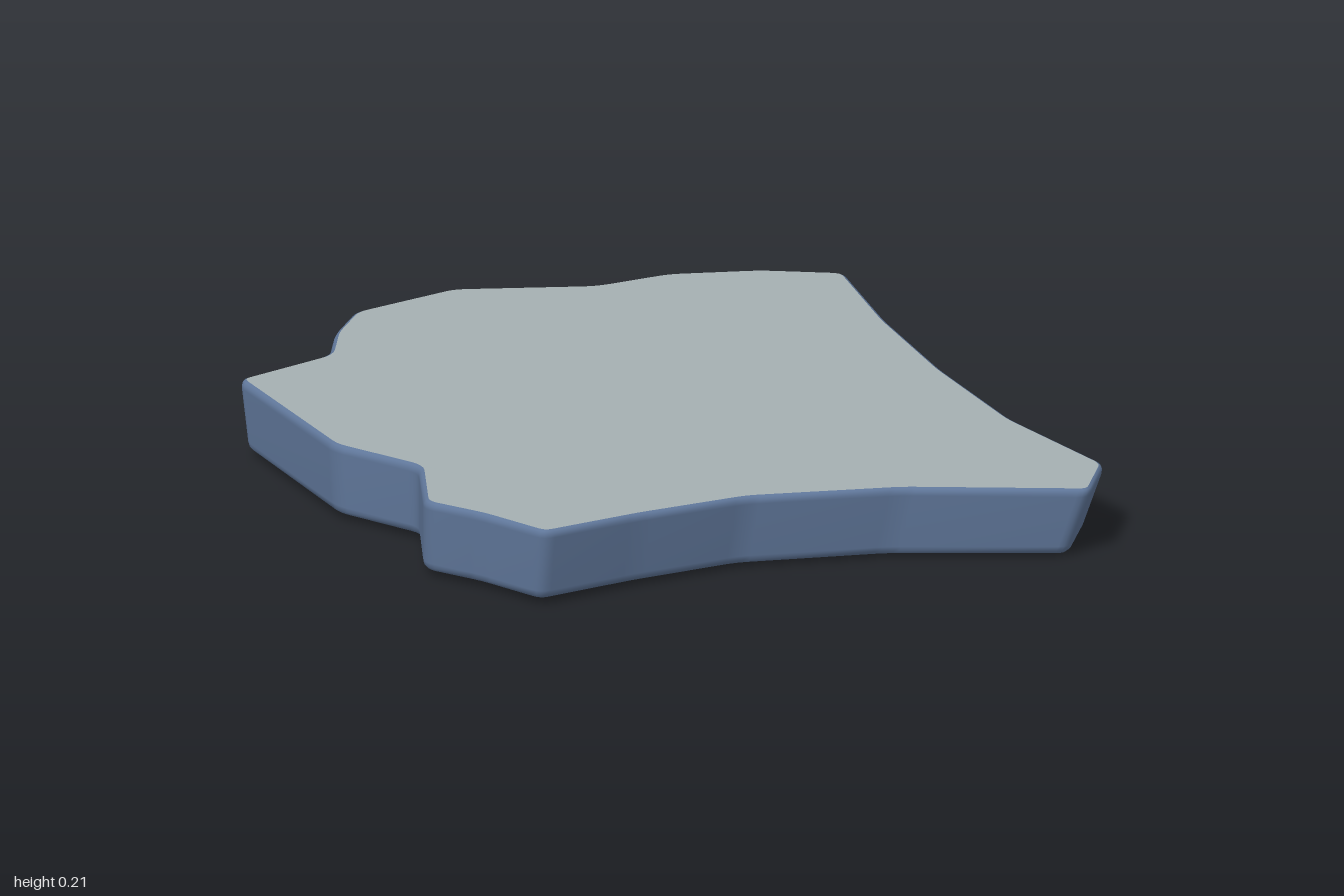
import * as THREE from 'three';

const blue = new THREE.MeshStandardMaterial({ name: 'slateBlue', color: 0x5f7699 });
const grey = new THREE.MeshStandardMaterial({ name: 'paleGrey', color: 0xa5b0b2 });

// Corners of the plate as [x, z], clockwise seen from above
const corners = [
  [-0.07, -1.005], [0.26, -0.87], [0.46, -0.87], [0.68, -0.795], [0.862, -0.685],
  [0.80, -0.33], [0.765, 0.05], [0.76, 0.45], [0.826, 0.845], [0.703, 1.012],
  [0.28, 0.81], [-0.10, 0.71], [-0.40, 0.715], [-0.68, 0.74], [-0.76, 0.55],
  [-0.85, 0.405], [-0.74, 0.155], [-0.86, -0.08], [-0.85, -0.635], [-0.565, -0.70],
  [-0.48, -0.84], [-0.365, -0.96],
].map(([x, z]) => new THREE.Vector2(x, z));

// Replace every corner by a short curve
function roundedOutline(points, cut) {
  const n = points.length;
  return points.flatMap((p, i) => {
    const toward = (q) => p.clone().add(q.clone().sub(p).setLength(cut));
    const curve = new THREE.QuadraticBezierCurve(
      toward(points[(i + n - 1) % n]), p, toward(points[(i + 1) % n]));
    return curve.getPoints(4);
  });
}

const outline = roundedOutline(corners, 0.032);
const count = outline.length;
const outward = outline.map((p, i) => {
  const t = outline[(i + 1) % count].clone().sub(outline[(i + count - 1) % count]);
  return new THREE.Vector2(t.y, -t.x).normalize();
});

// Gently warped upper and lower surfaces
const topY = (x, z) => 0.192 - 0.011 * x + 0.004 * z - 0.008 * x * z;
const bottomY = (x) => 0.0065 - 0.008 * x;

// One loop of points: inset from the wall, distance from the upper or lower surface
function ring(inset, offset, fromTop) {
  return outline.map((p, i) => {
    const q = p.clone().addScaledVector(outward[i], -inset);
    const low = bottomY(q.x), high = topY(q.x, q.y);
    const y = fromTop ? high - offset : low + offset;
    const drop = (high - y) / (high - low);
    // The walls lean inward toward the bottom
    const x = q.x * (1 - 0.035 * drop) - 0.02 * drop;
    const z = q.y * (1 - 0.045 * drop);
    return [x, y, z];
  });
}

function geometryFrom(points, index) {
  const g = new THREE.BufferGeometry();
  g.setAttribute('position', new THREE.Float32BufferAttribute(points.flat(), 3));
  g.setIndex(index);
  g.computeVertexNormals();
  return g;
}

// Wall through a stack of rings, bottom to top
function wall(rings) {
  const index = [];
  for (let j = 0; j < rings.length - 1; j++) {
    for (let i = 0; i < count; i++) {
      const k = (i + 1) % count;
      const a = j * count + i, b = j * count + k;
      const c = a + count, d = b + count;
      index.push(a, c, b, b, c, d);
    }
  }
  return geometryFrom(rings.flat(), index);
}

// Flat cover over a ring, facing up or down
function cap(points, up) {
  const flat = points.map(([x, , z]) => new THREE.Vector2(x, -z));
  const index = THREE.ShapeUtils.triangulateShape(flat, []).flatMap(([a, b, c]) => {
    const area = THREE.ShapeUtils.area([flat[a], flat[b], flat[c]]);
    return (area > 0) === up ? [a, b, c] : [a, c, b];
  });
  return geometryFrom(points, index);
}

export function createModel() {
  const group = new THREE.Group();
  group.name = 'stonePlate';
  const rings = [
    ring(0.024, 0, false), ring(0.010, 0.005, false), ring(0.002, 0.014, false), ring(0, 0.026, false),
    ring(0, 0.020, true), ring(0.002, 0.010, true), ring(0.007, 0.003, true), ring(0.014, 0, true),
  ];
  const add = (name, geometry, material) => {
    const mesh = new THREE.Mesh(geometry, material);
    mesh.name = name;
    group.add(mesh);
  };
  add('sideWall', wall(rings), blue);
  add('underside', cap(rings[0], false), blue);
  add('topSurface', cap(rings[rings.length - 1], true), grey);
  return group;
}
